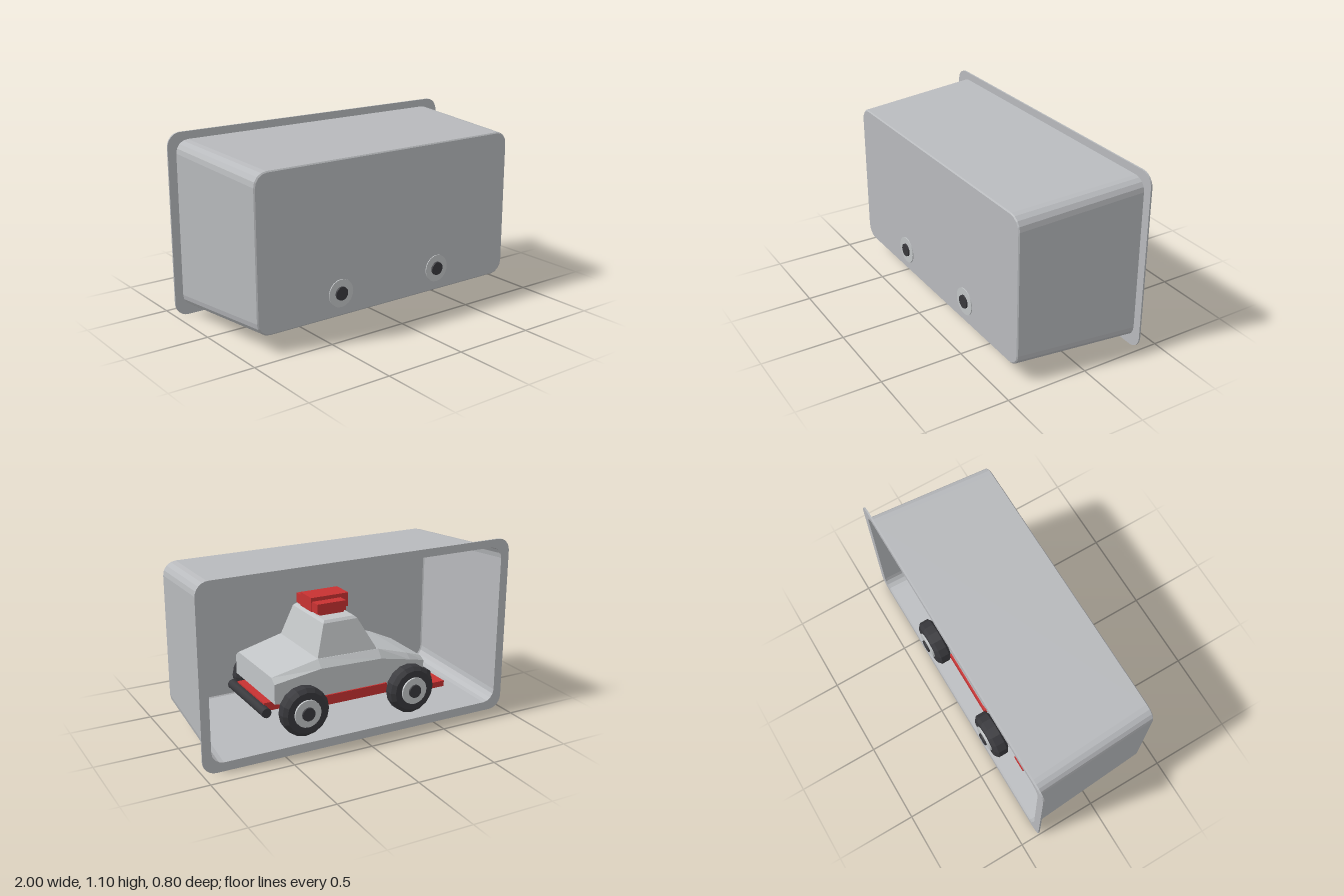
import * as THREE from 'three';

const mat = (name, color, side) => {
  const m = new THREE.MeshStandardMaterial({ color });
  m.name = name;
  if (side) m.side = side;
  return m;
};

// Faceted skin through closed rings, each counter-clockwise seen from the far end
function loft(rings, capStart, capEnd) {
  const pos = [];
  const tri = (...pts) => pts.forEach(p => pos.push(...p));
  const n = rings[0].length;
  for (let i = 0; i < rings.length - 1; i++) {
    for (let j = 0; j < n; j++) {
      const k = (j + 1) % n, a = rings[i], b = rings[i + 1];
      tri(a[j], a[k], b[k]);
      tri(a[j], b[k], b[j]);
    }
  }
  const first = rings[0], last = rings[rings.length - 1];
  for (let j = 1; j < n - 1; j++) {
    if (capStart) tri(first[0], first[j + 1], first[j]);
    if (capEnd) tri(last[0], last[j], last[j + 1]);
  }
  const g = new THREE.BufferGeometry();
  g.setAttribute('position', new THREE.Float32BufferAttribute(pos, 3));
  g.computeVertexNormals();
  return g;
}

// Corner points of a rounded rectangle
function roundRect(halfW, y0, y1, r, steps = 4) {
  const pts = [];
  const corners = [[halfW - r, y1 - r], [r - halfW, y1 - r], [r - halfW, y0 + r], [halfW - r, y0 + r]];
  corners.forEach(([cx, cy], q) => {
    for (let i = 0; i <= steps; i++) {
      const a = (q + i / steps) * Math.PI / 2;
      pts.push([cx + r * Math.cos(a), cy + r * Math.sin(a)]);
    }
  });
  return pts;
}

export function createModel() {
  const model = new THREE.Group();
  model.name = 'toyCarInTray';
  const trayGrey = mat('tray grey', 0xb8babd, THREE.DoubleSide);
  const bodyGrey = mat('body grey', 0xc2c5c7);
  const red = mat('red', 0xc83232);
  const black = mat('black rubber', 0x38383c);

  const add = (parent, name, geo, material, x = 0, y = 0, z = 0) => {
    const m = new THREE.Mesh(geo, material);
    m.name = name;
    m.position.set(x, y, z);
    parent.add(m);
    return m;
  };
  // Box given by its limits
  const box = (parent, name, material, x0, x1, y0, y1, z0, z1) =>
    add(parent, name, new THREE.BoxGeometry(x1 - x0, y1 - y0, z1 - z0), material,
      (x0 + x1) / 2, (y0 + y1) / 2, (z0 + z1) / 2);

  // Tray: tapered thin shell, closed at the front and open at the back
  const tray = new THREE.Group();
  tray.name = 'tray';
  model.add(tray);
  const ring = (z, w, y0, y1, r) => roundRect(w, y0, y1, r).map(([x, y]) => [x, y, z]);
  add(tray, 'trayShell', loft([
    ring(-0.38, 0.948, 0.052, 1.054, 0.075),
    ring(0.38, 0.906, 0.098, 1.008, 0.08),
    ring(0.386, 0.899, 0.105, 1.001, 0.075),
  ], false, true), trayGrey);

  // Rim around the opening
  const toV2 = pts => pts.map(([x, y]) => new THREE.Vector2(x, y));
  const rim = new THREE.Shape(toV2(roundRect(1, 0, 1.1, 0.08, 6)));
  rim.holes.push(new THREE.Path(toV2(roundRect(0.946, 0.054, 1.052, 0.075)).reverse()));
  add(tray, 'trayRim', new THREE.ExtrudeGeometry(rim, { depth: 0.01, bevelEnabled: false }),
    trayGrey, 0, 0, -0.386);

  // Car, nose towards -x
  const car = new THREE.Group();
  car.name = 'car';
  model.add(car);

  // Body sections along x: half width, shoulder height, deck height
  const section = ([x, w, low, shoulder, deck]) => [
    [x, low, -w], [x, shoulder, -w], [x, deck, 0.04 - w],
    [x, deck, w - 0.04], [x, shoulder, w], [x, low, w],
  ];
  add(car, 'body', loft([
    [-0.53, 0.21, 0.26, 0.34, 0.36],
    [-0.40, 0.26, 0.25, 0.385, 0.415],
    [-0.18, 0.29, 0.25, 0.44, 0.49],
    [0.22, 0.29, 0.25, 0.45, 0.497],
    [0.51, 0.275, 0.28, 0.40, 0.43],
  ].map(section), true, true), bodyGrey);

  // Cabin: tapered block with a small bevel below the roof
  const slab = ([y, x0, x1, w]) => [[x0, y, -w], [x0, y, w], [x1, y, w], [x1, y, -w]];
  add(car, 'cabin', loft([
    [0.48, -0.178, 0.226, 0.25],
    [0.685, -0.065, 0.158, 0.2],
    [0.70, -0.05, 0.145, 0.185],
  ].map(slab), true, true), bodyGrey);

  // Roof light
  box(car, 'lightMount', red, -0.03, 0.13, 0.69, 0.725, -0.1, 0.1);
  box(car, 'lightBar', red, -0.025, 0.164, 0.722, 0.782, -0.135, 0.135);
  box(car, 'lightBlock', red, -0.076, 0.17, 0.72, 0.805, -0.07, 0.07);

  // Chassis, sills and front bumper
  box(car, 'chassis', red, -0.56, 0.54, 0.21, 0.262, -0.19, 0.19);
  box(car, 'sills', red, -0.215, 0.215, 0.222, 0.282, -0.3, 0.3);
  box(car, 'frontBumper', red, -0.64, -0.54, 0.172, 0.208, -0.28, 0.28);

  const rod = (name, r, length, x, y) => {
    const g = new THREE.CylinderGeometry(r, r, length, 12).rotateX(Math.PI / 2);
    add(car, name, g, black, x, y);
  };
  rod('frontBar', 0.03, 0.46, -0.545, 0.25);
  rod('rearBar', 0.03, 0.5, 0.55, 0.225);

  // Wheels: bevelled tyre, pale rim disc and dark hub cap
  const tyreProfile = [[0, -0.05], [0.12, -0.05], [0.148, -0.03], [0.148, 0.025], [0.125, 0.045], [0, 0.045]]
    .map(([r, h]) => new THREE.Vector2(r, h));
  const tyre = new THREE.LatheGeometry(tyreProfile, 16).toNonIndexed();
  tyre.computeVertexNormals();
  tyre.rotateX(Math.PI / 2);
  const disc = new THREE.CylinderGeometry(0.083, 0.085, 0.03, 20).rotateX(Math.PI / 2);
  const hub = new THREE.CylinderGeometry(0.04, 0.043, 0.03, 16).rotateX(Math.PI / 2);
  for (const x of [-0.355, 0.355]) {
    rod('axle', 0.03, 0.6, x, 0.235);
    for (const side of [1, -1]) {
      const wheel = new THREE.Group();
      wheel.name = 'wheel';
      wheel.position.set(x, 0.235, side * 0.335);
      if (side < 0) wheel.rotation.y = Math.PI;
      car.add(wheel);
      add(wheel, 'tyre', tyre, black);
      add(wheel, 'wheelDisc', disc, bodyGrey, 0, 0, 0.041);
      add(wheel, 'hubCap', hub, black, 0, 0, 0.051);
    }
  }
  return model;
}
